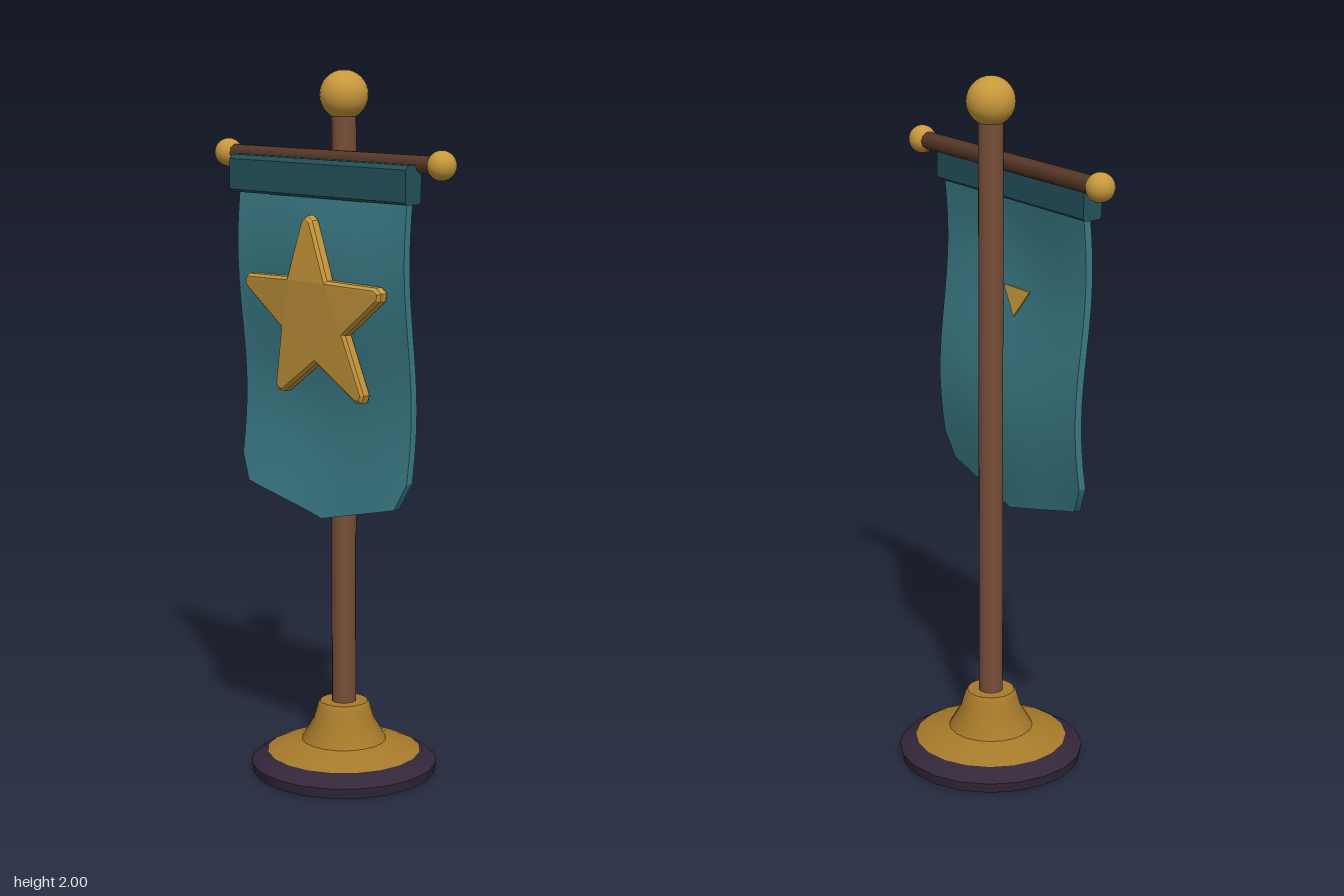
import * as THREE from 'three';
import { toCreasedNormals } from 'three/addons/utils/BufferGeometryUtils.js';

const mat = (name, color) => {
  const m = new THREE.MeshStandardMaterial({ color });
  m.name = name;
  return m;
};

// Gentle wave of the hanging cloth: z as a function of x and y
const wave = (x, y) =>
  0.078 + 0.022 * Math.cos(7 * (y - 1.5)) +
  0.01 * Math.cos((x / 0.325) * Math.PI) * Math.cos(4.5 * (y - 1.5));

// Lower hem of the cloth: shallow point with clipped corners
const hem = (x) => {
  const a = Math.abs(x);
  return a < 0.289 ? 0.755 + 0.07 * (a / 0.289) : 0.825 + 0.075 * ((a - 0.289) / 0.036);
};

function deform(geometry, rule) {
  const p = geometry.attributes.position;
  for (let i = 0; i < p.count; i++) p.setXYZ(i, ...rule(p.getX(i), p.getY(i), p.getZ(i)));
  geometry.computeVertexNormals();
  return geometry;
}

const lathe = (points) =>
  toCreasedNormals(new THREE.LatheGeometry(points.map((p) => new THREE.Vector2(...p)), 20), 0.4);

function starShape() {
  const shape = new THREE.Shape();
  const at = (r, a) => [r * Math.sin(a), r * Math.cos(a)];
  for (let i = 0; i < 5; i++) {
    const a = (i * Math.PI * 2) / 5;
    // blunt tip, then the inner notch
    shape[i ? 'lineTo' : 'moveTo'](...at(0.262, a - 0.05));
    shape.lineTo(...at(0.27, a));
    shape.lineTo(...at(0.262, a + 0.05));
    shape.lineTo(...at(0.122, a + Math.PI / 5));
  }
  shape.closePath();
  return shape;
}

export function createModel() {
  const gold = mat('gold', 0xc8983c);
  const bronze = mat('darkGold', 0xa67a2a);
  const wood = mat('wood', 0x774e38);
  const darkWood = mat('darkWood', 0x573828);
  const teal = mat('teal', 0x3a7a85);
  const darkTeal = mat('darkTeal', 0x22525a);
  const plum = mat('plum', 0x33273a);

  const model = new THREE.Group();
  model.name = 'bannerStand';
  const add = (name, geometry, material, x = 0, y = 0, z = 0) => {
    const mesh = new THREE.Mesh(geometry, material);
    mesh.name = name;
    mesh.position.set(x, y, z);
    model.add(mesh);
    return mesh;
  };

  // Base and collar
  add('baseFoot', lathe([[0, 0], [0.262, 0], [0.268, 0.03], [0.22, 0.06], [0, 0.06]]), plum);
  add('baseCollar', lathe([[0.22, 0.06], [0.19, 0.073], [0.122, 0.092], [0.088, 0.15],
    [0.075, 0.195], [0.068, 0.205], [0, 0.205]]), bronze);

  // Pole and finial
  add('pole', new THREE.CylinderGeometry(0.035, 0.035, 1.7, 16), wood, 0, 1.05, 0);
  add('finial', new THREE.SphereGeometry(0.068, 24, 16), gold, 0, 1.932, 0);

  // Crossbar with end knobs
  const bar = add('crossbar', new THREE.CylinderGeometry(0.025, 0.025, 0.8, 10), darkWood, 0, 1.76, 0.053);
  bar.rotation.z = Math.PI / 2;
  for (const side of [-1, 1]) {
    add(side > 0 ? 'leftKnob' : 'rightKnob', new THREE.SphereGeometry(0.04, 20, 14), gold, side * 0.413, 1.76, 0.053);
  }

  // Folded sleeve at the top of the cloth
  const sleeve = new THREE.Shape();
  [[0.055, 1.662], [0.062, 1.655], [0.108, 1.655], [0.115, 1.662], [0.115, 1.748], [0.105, 1.76],
    [0.065, 1.76], [0.055, 1.75]].forEach(([z, y], i) => sleeve[i ? 'lineTo' : 'moveTo'](-z, y));
  const sleeveGeometry = new THREE.ExtrudeGeometry(sleeve, { depth: 0.684, bevelEnabled: false });
  sleeveGeometry.translate(0, 0, -0.342).rotateY(Math.PI / 2);
  add('bannerSleeve', sleeveGeometry, darkTeal);

  // Waving cloth
  const cloth = new THREE.BoxGeometry(0.65, 1, 0.022, 18, 24, 1);
  add('bannerCloth', deform(cloth, (x, v, z) => {
    const y = THREE.MathUtils.lerp(hem(x), 1.7, v + 0.5);
    return [x, y, wave(x, y) + z];
  }), teal);

  // Raised star following the cloth
  const star = new THREE.ExtrudeGeometry(starShape(), {
    depth: 0.022, bevelThickness: 0.008, bevelSize: 0.008, bevelSegments: 1,
  });
  add('star', deform(star, (x, y, z) => [x, y + 1.33, wave(x, y + 1.33) + 0.016 + z]), gold);

  // Small pin showing on the back of the cloth
  const pin = new THREE.Shape();
  pin.moveTo(-0.06, 1.4).lineTo(0, 1.32).lineTo(0.06, 1.4).closePath();
  const pinGeometry = new THREE.ExtrudeGeometry(pin, { depth: 0.006, bevelEnabled: false });
  add('starPin', deform(pinGeometry, (x, y, z) => [x, y, wave(x, y) - 0.015 + z]), gold);

  return model;
}
